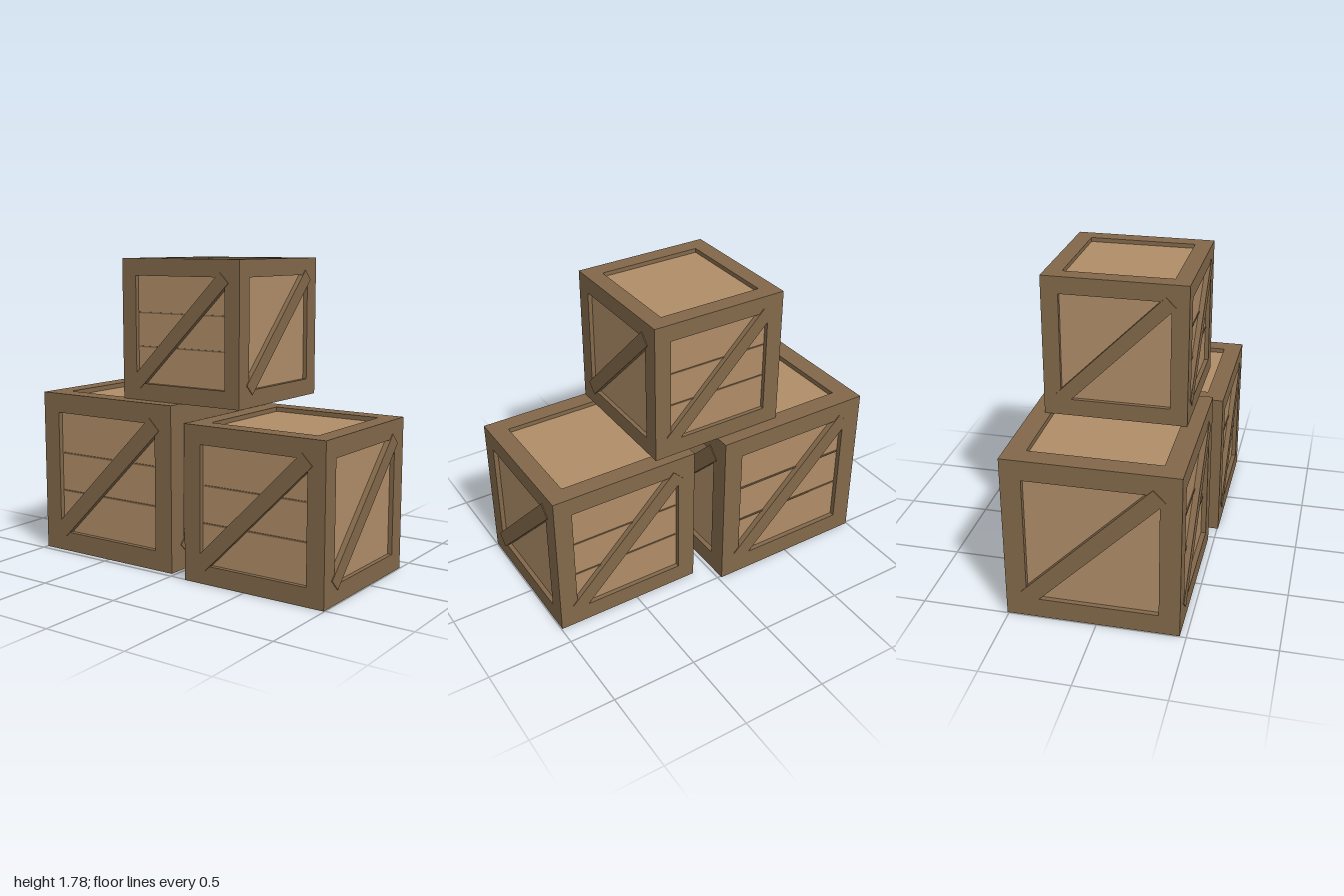
import * as THREE from 'three';

const panelWood = new THREE.MeshStandardMaterial({ color: 0xb08d68 });
const frameWood = new THREE.MeshStandardMaterial({ color: 0x82684a });

function box(name, w, h, d, material, x = 0, y = 0, z = 0) {
  const mesh = new THREE.Mesh(new THREE.BoxGeometry(w, h, d), material);
  mesh.name = name;
  mesh.position.set(x, y, z);
  return mesh;
}

// One crate of side s, centred on its own origin
function createCrate(name, s) {
  const crate = new THREE.Group();
  crate.name = name;
  const beam = 0.12 * s;
  const recess = 0.03 * s;
  const core = s - 2 * recess;
  const off = (s - beam) / 2;
  const inner = s - 2 * beam;

  // Recessed panels on all six sides
  crate.add(box('panels', core, core, core, panelWood));

  // Twelve edge beams: full-height posts with rails between them
  for (const a of [-off, off]) {
    for (const b of [-off, off]) {
      crate.add(box('post', beam, s, beam, frameWood, a, 0, b));
      crate.add(box('railX', inner, beam, beam, frameWood, 0, a, b));
      crate.add(box('railZ', beam, beam, inner, frameWood, a, b, 0));
    }
  }

  // Diagonal brace on each upright side, just proud of the frame
  const outer = s / 2 + 0.005;
  const thick = recess + 0.01;
  for (let i = 0; i < 4; i++) {
    const side = new THREE.Group();
    side.name = 'braceSide';
    side.rotation.y = i * Math.PI / 2;
    const brace = box('brace', 1.07 * s, 0.1 * s, thick, frameWood, 0, 0, outer - thick / 2);
    brace.rotation.z = Math.PI / 4;
    side.add(brace);
    // Plank seams on the front and back only
    if (i % 2 === 0) {
      for (const y of [-0.12 * s, 0.12 * s]) {
        side.add(box('plankSeam', 0.745 * s, 0.01 * s, 0.012 * s, frameWood, 0, y, core / 2));
      }
    }
    crate.add(side);
  }
  return crate;
}

export function createModel() {
  const model = new THREE.Group();
  model.name = 'crateStack';
  // Name, side, centre x, base y, centre z
  const crates = [
    ['largeCrate', 0.973, -0.509, 0, -0.023],
    ['mediumCrate', 0.892, 0.549, 0, 0.06],
    ['topCrate', 0.811, -0.022, 0.973, -0.023],
  ];
  for (const [name, s, x, y, z] of crates) {
    const crate = createCrate(name, s);
    crate.position.set(x, y + s / 2, z);
    model.add(crate);
  }
  return model;
}
